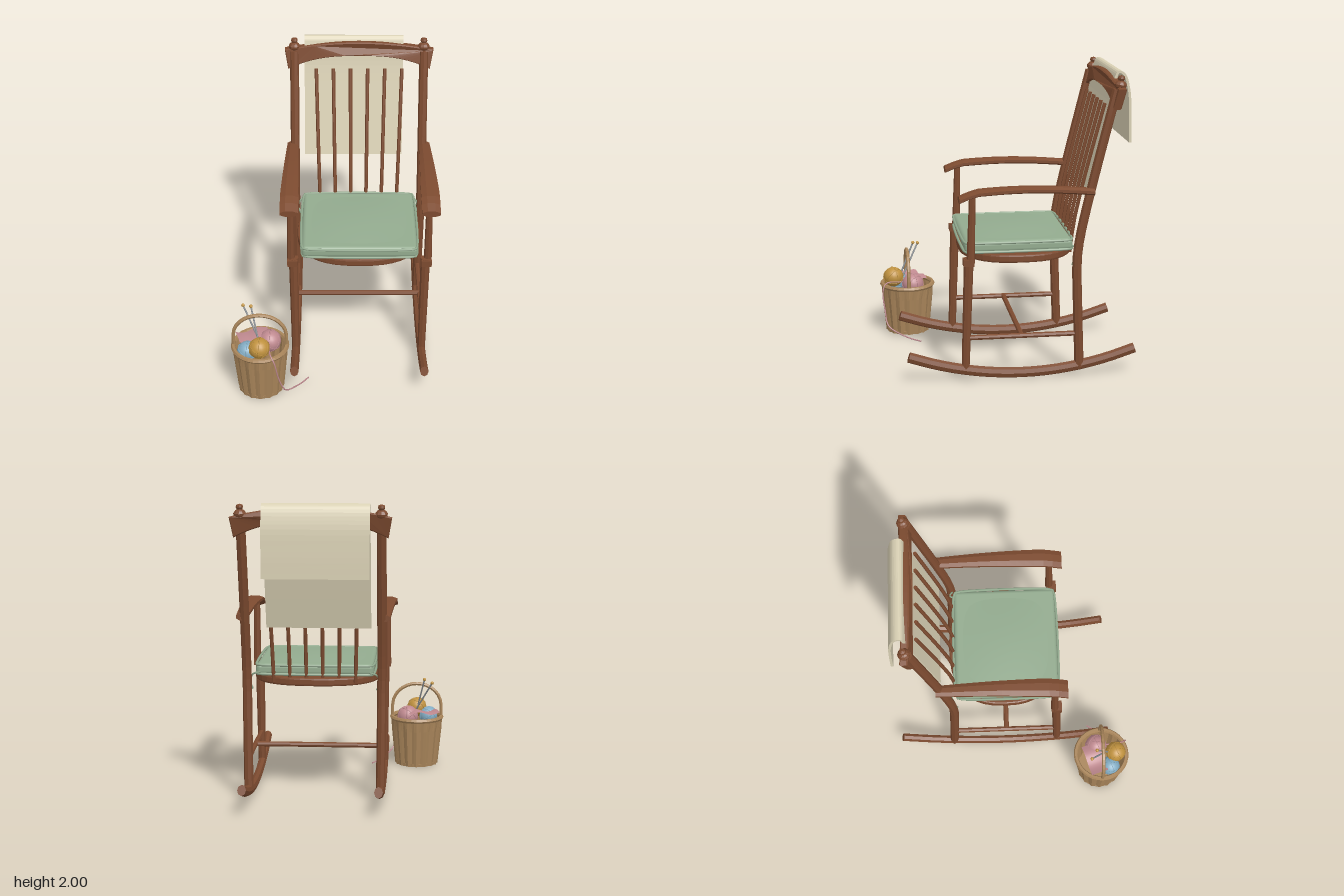
import * as THREE from 'three';
import { mergeGeometries } from 'three/addons/utils/BufferGeometryUtils.js';
import { RoundedBoxGeometry } from 'three/addons/geometries/RoundedBoxGeometry.js';

const V = (x, y, z) => new THREE.Vector3(x, y, z);
const mat = (color, flatShading = false, side = THREE.FrontSide) =>
  new THREE.MeshStandardMaterial({ color, flatShading, side });
const wood = mat(0x7d4b30, true);
const cloth = mat(0xd9d0b4, false, THREE.DoubleSide);
const sage = mat(0x93ab8f);
const wicker = mat(0xa9855a, true, THREE.DoubleSide);
const pink = mat(0xc08a90, false, THREE.DoubleSide);
const mustard = mat(0xc0923f);
const blue = mat(0x84adc4);
const steel = mat(0x8d9296);

function add(parent, name, geometry, material) {
  const mesh = new THREE.Mesh(geometry, material);
  mesh.name = name;
  parent.add(mesh);
  return mesh;
}

// Move every vertex of a geometry by a rule
function warp(geometry, rule) {
  const p = geometry.attributes.position, v = V(0, 0, 0);
  for (let i = 0; i < p.count; i++) {
    v.fromBufferAttribute(p, i);
    rule(v);
    p.setXYZ(i, v.x, v.y, v.z);
  }
  geometry.computeVertexNormals();
  return geometry;
}

// Straight tapered rod between two points
function rod(a, b, ra, rb = ra, sides = 8) {
  const d = b.clone().sub(a);
  const g = new THREE.CylinderGeometry(rb, ra, d.length(), sides);
  g.applyQuaternion(new THREE.Quaternion().setFromUnitVectors(V(0, 1, 0), d.normalize()));
  const m = a.clone().add(b).multiplyScalar(0.5);
  return g.translate(m.x, m.y, m.z);
}

// Bent rod through points, with closed ends
function bent(points, r, segments = 16, sides = 8, closed = false) {
  const curve = new THREE.CatmullRomCurve3(points, closed);
  const parts = [new THREE.TubeGeometry(curve, segments, r, sides, closed)];
  if (!closed) for (const t of [0, 1]) {
    const dir = curve.getTangent(t).multiplyScalar(t ? 1 : -1), p = curve.getPoint(t);
    const cap = new THREE.CircleGeometry(r, sides);
    cap.applyQuaternion(new THREE.Quaternion().setFromUnitVectors(V(0, 0, 1), dir));
    parts.push(cap.translate(p.x, p.y, p.z));
  }
  return mergeGeometries(parts);
}

function buildFrame(chair) {
  for (const s of [-1, 1]) {
    const side = s > 0 ? 'left' : 'right';
    // Rocker: shallow arc, slightly narrower than it is tall
    const arc = [];
    for (let i = 0; i <= 8; i++) {
      const z = 0.69 - i * 1.495 / 8;
      arc.push(V(0, 0.036 + (z + 0.06) ** 2 / 4.1, z));
    }
    add(chair, side + 'Rocker', bent(arc, 0.036, 20).scale(0.8, 1, 1).translate(s * 0.438, 0, 0), wood);

    // Front leg, its block at the seat, and the arm support
    add(chair, side + 'FrontLeg', rod(V(s * 0.438, 0.06, 0.32), V(s * 0.443, 0.83, 0.295), 0.026, 0.032), wood);
    add(chair, side + 'LegBlock', new THREE.BoxGeometry(0.07, 0.045, 0.07).translate(s * 0.45, 0.805, 0.298), wood);
    add(chair, side + 'ArmSupport', rod(V(s * 0.46, 0.8, 0.285), V(s * 0.458, 1.25, 0.272), 0.027, 0.021), wood);

    // Back leg and post in one bent piece
    add(chair, side + 'BackPost', bent([V(s * 0.438, 0.06, -0.435), V(s * 0.442, 0.45, -0.42), V(s * 0.444, 0.8, -0.412),
      V(s * 0.445, 0.95, -0.43), V(s * 0.445, 1.25, -0.495), V(s * 0.445, 1.6, -0.58), V(s * 0.445, 1.9, -0.655)], 0.031, 22), wood);

    // Turned finial
    const profile = [[0, -0.03], [0.024, -0.03], [0.024, 0], [0.038, 0.012], [0.041, 0.028], [0.03, 0.044],
      [0.017, 0.052], [0.024, 0.066], [0.02, 0.08], [0, 0.087]].map(p => new THREE.Vector2(...p));
    const finial = add(chair, side + 'Finial', new THREE.LatheGeometry(profile, 10), wood);
    finial.position.set(s * 0.445, 1.905, -0.672);
    finial.rotation.x = -0.12;

    // Arm: flat octagonal bar, wide and drooping at the front
    const arm = new THREE.CylinderGeometry(1, 1, 0.875, 8, 14).rotateY(Math.PI / 8).rotateX(Math.PI / 2);
    warp(arm, v => {
      const t = (v.z + 0.4375) / 0.875;
      const w = 0.04 + 0.026 * Math.min(1, t * 1.3);
      const droop = Math.max(0, t - 0.88) * 0.28;
      v.set(s * (0.462 + 0.005 * t) + v.x * w, 1.247 + 0.024 * Math.sin(t * Math.PI) + 0.007 * t - droop + v.y * 0.023, v.z - 0.0775);
    });
    add(chair, side + 'Arm', arm, wood);
    add(chair, side + 'Stretcher', rod(V(s * 0.438, 0.29, 0.31), V(s * 0.438, 0.29, -0.42), 0.018), wood);
  }
  add(chair, 'crossStretcher', rod(V(-0.438, 0.29, -0.05), V(0.438, 0.29, -0.05), 0.018), wood);

  // Seat board with a rounded outline
  const outline = [];
  for (let i = 0; i < 40; i++) {
    const a = i / 40 * Math.PI * 2, c = Math.cos(a), n = Math.sin(a), e = 2 / 2.5;
    outline.push(new THREE.Vector2(Math.sign(c) * Math.abs(c) ** e * 0.415, Math.sign(n) * Math.abs(n) ** e * 0.37));
  }
  const seat = new THREE.ExtrudeGeometry(new THREE.Shape(outline),
    { depth: 0.03, bevelSize: 0.01, bevelThickness: 0.012, bevelSegments: 2 });
  add(chair, 'seat', seat.rotateX(-Math.PI / 2).translate(0, 0.79, -0.055), wood);

  // Crest rail: arched, leaning back and bowed
  const top = [], bottom = [];
  for (let i = 0; i <= 20; i++) {
    const u = i / 10 - 1;
    top.push(new THREE.Vector2(u * 0.505, 1.965 - 0.06 * u * u));
    bottom.push(new THREE.Vector2(u * 0.485, 1.885 - 0.1 * Math.abs(u) ** 2.6));
  }
  const rail = new THREE.ExtrudeGeometry(new THREE.Shape([...bottom, ...top.reverse()]),
    { depth: 0.036, bevelSize: 0.006, bevelThickness: 0.008, bevelSegments: 1 });
  warp(rail, v => { v.z += -0.673 - (v.y - 1.88) * 0.22 + 0.03 * (0.4 - (v.x / 0.5) ** 2); });
  add(chair, 'crestRail', rail, wood);

  // Fan of back spindles
  for (let i = 0; i < 6; i++) {
    const k = i / 2.5 - 1;
    add(chair, 'spindle', bent([V(k * 0.27, 0.8, -0.395), V(k * 0.275, 1.0, -0.418), V(k * 0.283, 1.3, -0.483),
      V(k * 0.295, 1.79, -0.608)], 0.0125, 8, 6), wood);
  }
}

function buildSoftParts(chair) {
  // Cushion with a slight dome, piped edges and ties
  const cushion = new RoundedBoxGeometry(0.78, 0.08, 0.71, 4, 0.03).translate(0, 0.88, -0.04);
  add(chair, 'cushion', cushion, sage);
  const dome = new THREE.PlaneGeometry(0.73, 0.66, 12, 12).rotateX(-Math.PI / 2);
  warp(dome, v => { v.y = 0.917 + 0.018 * Math.cos(v.x / 0.73 * Math.PI) * Math.cos(v.z / 0.66 * Math.PI); v.z -= 0.04; });
  add(chair, 'cushionTop', dome, sage);
  for (const y of [0.85, 0.91]) {
    const loop = [];
    for (const [sx, sz] of [[1, 1], [-1, 1], [-1, -1], [1, -1]]) {
      const ends = [V(sx * 0.388, y, sz * 0.31 - 0.04), V(sx * 0.378, y, sz * 0.345 - 0.04), V(sx * 0.345, y, sz * 0.354 - 0.04)];
      loop.push(...(sx * sz > 0 ? ends : ends.reverse()));
    }
    add(chair, 'piping', bent(loop, 0.009, 80, 6, true), sage);
  }
  for (const s of [-1, 1]) {
    add(chair, 'cushionTie', bent([V(s * 0.36, 0.86, -0.38), V(s * 0.375, 0.865, -0.42), V(s * 0.41, 0.85, -0.405),
      V(s * 0.425, 0.8, -0.4), V(s * 0.41, 0.75, -0.385)], 0.006, 14, 5), sage);
  }

  // Throw folded over the crest rail, as a thick ribbon swept sideways
  const path = new THREE.CatmullRomCurve3([V(0, 1.18, -0.49), V(0, 1.5, -0.572), V(0, 1.8, -0.645), V(0, 1.94, -0.672),
    V(0, 1.99, -0.695), V(0, 1.975, -0.732), V(0, 1.87, -0.765), V(0, 1.7, -0.776), V(0, 1.53, -0.778)]);
  const front = [], back = [];
  for (let i = 0; i <= 40; i++) {
    const p = path.getPoint(i / 40), t = path.getTangent(i / 40).multiplyScalar(0.008);
    front.push(new THREE.Vector2(-p.z - t.y, p.y - t.z));
    back.push(new THREE.Vector2(-p.z + t.y, p.y + t.z));
  }
  const ribbon = new THREE.ExtrudeGeometry(new THREE.Shape([...front, ...back.reverse()]), { depth: 0.68, bevelEnabled: false });
  add(chair, 'throw', ribbon.rotateY(Math.PI / 2).translate(-0.376, 0, 0), cloth);
}

function buildBasket(basket) {
  // Fluted wall, floor, rim and hoop handle
  const wall = new THREE.CylinderGeometry(0.184, 0.15, 0.35, 64, 4, true).translate(0, 0.175, 0);
  warp(wall, v => {
    const k = 1 + 0.035 * Math.cos(16 * Math.atan2(v.z, v.x)) * (v.y > 0.3 ? 0.3 : 1);
    v.x *= k;
    v.z *= k;
  });
  add(basket, 'basketWall', wall, wicker);
  add(basket, 'basketFloor', new THREE.CylinderGeometry(0.152, 0.15, 0.02, 32).translate(0, 0.012, 0), wicker);
  add(basket, 'basketRim', new THREE.TorusGeometry(0.18, 0.016, 6, 32).rotateX(Math.PI / 2).translate(0, 0.345, 0), wicker);
  const hoop = [V(-0.176, 0.33, 0)];
  for (let i = 0; i <= 8; i++) {
    const a = Math.PI * (1 - i / 8);
    hoop.push(V(Math.cos(a) * 0.177, 0.43 + Math.sin(a) * 0.16, 0));
  }
  hoop.push(V(0.176, 0.33, 0));
  add(basket, 'basketHandle', bent(hoop, 0.013, 20, 6), wicker);

  // Balls of yarn with raised strands
  for (const [x, y, z, r, m] of [[0, 0.395, 0.1, 0.07, mustard], [0.065, 0.355, -0.035, 0.075, pink], [-0.085, 0.34, 0.06, 0.066, blue]]) {
    const ball = new THREE.Group();
    ball.name = 'yarnBall';
    ball.position.set(x, y, z);
    add(ball, 'yarnCore', new THREE.SphereGeometry(r, 20, 14), m);
    for (let i = 0; i < 4; i++) {
      add(ball, 'yarnStrand', new THREE.TorusGeometry(r, 0.003, 5, 28), m).rotation.set(i * 0.8, i * 1.1 + 0.4, 0);
    }
    basket.add(ball);
  }

  // Unfinished knitting and its needles
  const knit = new THREE.PlaneGeometry(0.22, 0.12, 10, 6).rotateX(-Math.PI / 2);
  warp(knit, v => { v.y = 0.395 + 0.012 * Math.sin(v.x * 32) - 1.5 * v.z * v.z; });
  const piece = add(basket, 'knitting', knit, pink);
  piece.rotation.y = 0.3;
  piece.position.set(-0.045, 0, -0.05);
  for (const [tip, end] of [[V(-0.055, 0.63, -0.048), V(0.005, 0.36, 0.07)], [V(-0.11, 0.612, -0.085), V(0.01, 0.38, 0.04)]]) {
    add(basket, 'needle', rod(end, tip, 0.006, 0.006, 6), steel);
    add(basket, 'needleKnob', new THREE.SphereGeometry(0.012, 10, 8).translate(tip.x, tip.y, tip.z), mustard);
  }

  // Loose strand trailing over the rim to the floor
  add(basket, 'looseYarn', bent([V(0.06, 0.37, 0.03), V(0.075, 0.37, 0.15), V(0.1, 0.33, 0.18), V(0.13, 0.18, 0.17),
    V(0.17, 0.08, 0.15), V(0.23, 0.03, 0.06), V(0.28, 0.012, -0.01), V(0.32, 0.006, -0.07)], 0.005, 30, 5), pink);
}

export function createModel() {
  const model = new THREE.Group();
  model.name = 'rockingChairWithBasket';
  const chair = new THREE.Group();
  chair.name = 'rockingChair';
  chair.position.x = 0.167;
  buildFrame(chair);
  buildSoftParts(chair);
  const basket = new THREE.Group();
  basket.name = 'knittingBasket';
  basket.position.set(-0.5, 0, 0.62);
  buildBasket(basket);
  model.add(chair, basket);
  return model;
}
